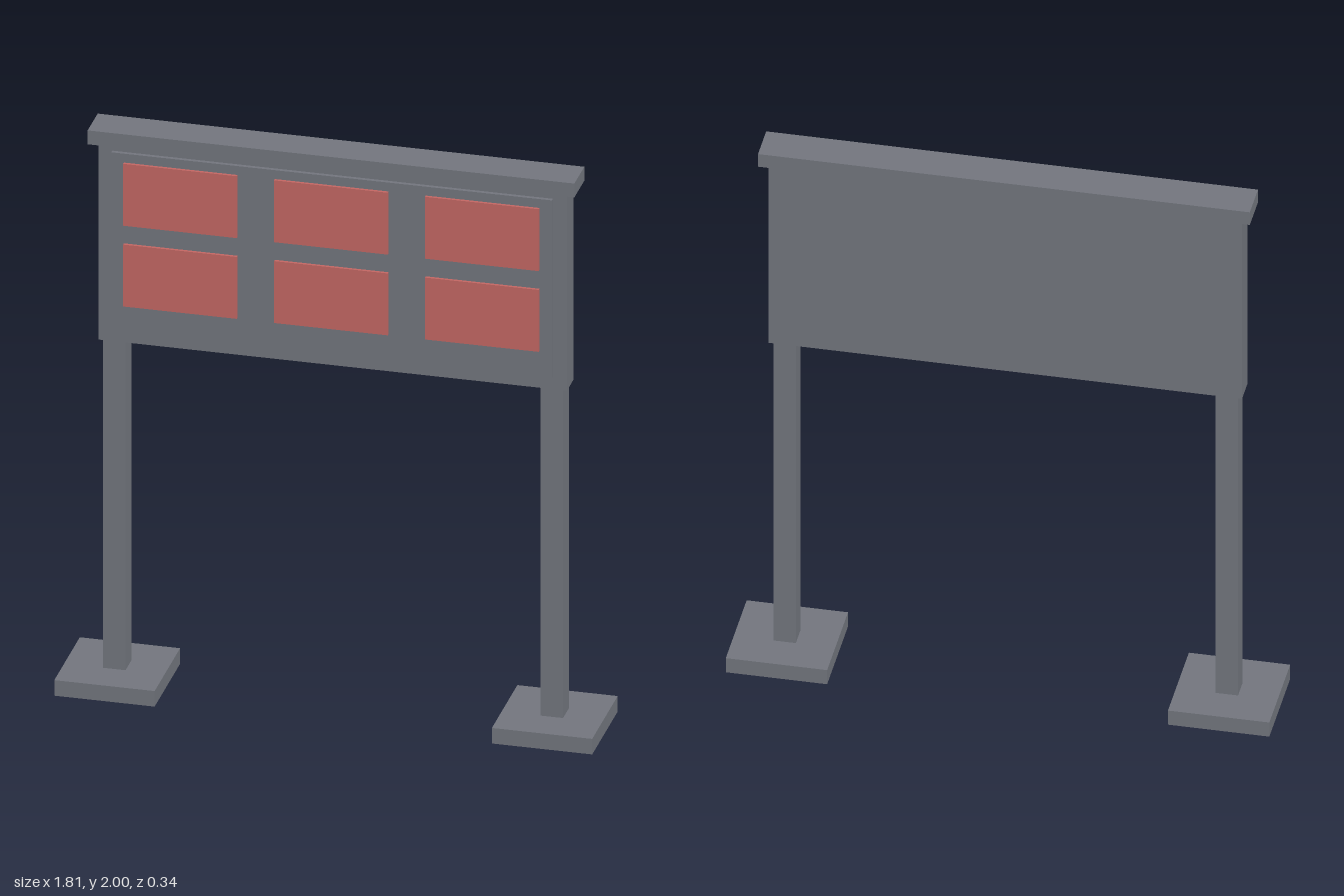
import * as THREE from 'three';

export function createModel() {
  const model = new THREE.Group();
  model.name = 'noticeBoard';

  const grey = new THREE.MeshStandardMaterial({ color: 0x72757d });
  grey.name = 'slate grey';
  const red = new THREE.MeshStandardMaterial({ color: 0xc26663 });
  red.name = 'soft red';

  // Box given by its centre x and its y and z extents
  function box(name, material, x, width, [y0, y1], [z0, z1]) {
    const mesh = new THREE.Mesh(new THREE.BoxGeometry(width, y1 - y0, z1 - z0), material);
    mesh.position.set(x, (y0 + y1) / 2, (z0 + z1) / 2);
    mesh.name = name;
    model.add(mesh);
  }

  // Legs: square foot plate and post on each side
  for (const [side, s] of [['left', 1], ['right', -1]]) {
    box(`${side}Foot`, grey, s * 0.735, 0.337, [0, 0.056], [-0.168, 0.168]);
    box(`${side}Post`, grey, s * 0.735, 0.075, [0.056, 1.24], [-0.038, 0.038]);
  }

  // Board with raised front panel and overhanging cap
  box('board', grey, 0, 1.574, [1.24, 1.95], [-0.044, 0.044]);
  box('frontPanel', grey, 0, 1.48, [1.285, 1.926], [0.044, 0.057]);
  box('cap', grey, 0, 1.635, [1.95, 2], [-0.066, 0.066]);

  // Two rows of three notices
  for (const y of [1.38, 1.671]) {
    for (const x of [-0.507, 0, 0.507]) {
      box('notice', red, x, 0.382, [y, y + 0.223], [0.057, 0.067]);
    }
  }

  return model;
}
